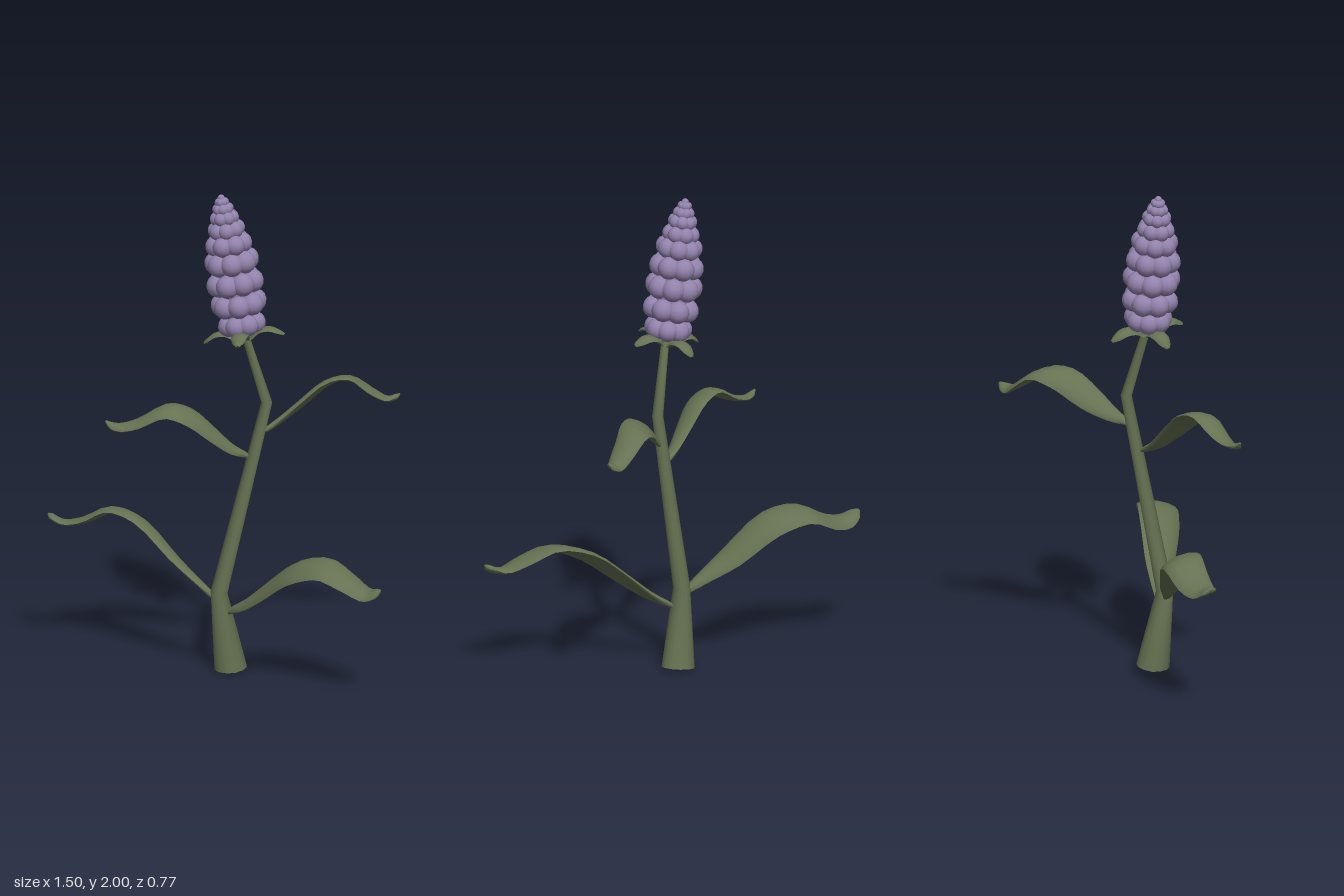
import * as THREE from 'three';
import { toCreasedNormals } from 'three/addons/utils/BufferGeometryUtils.js';

const green = new THREE.MeshStandardMaterial({ color: 0x667252, roughness: 0.9, side: THREE.DoubleSide });
const purple = new THREE.MeshStandardMaterial({ color: 0x9383ad, roughness: 0.9 });
const V = (x, y, z) => new THREE.Vector3(x, y, z);

// Sweeps an oval section along rows of [x, y, z, halfWidth, halfThickness];
// the width runs along z, roll lowers the +z edge, arch lowers both edges
function sweep(rows, sides, arch = 0, roll = 0) {
  const pos = [], index = [];
  const at = i => V(...rows[Math.min(Math.max(i, 0), rows.length - 1)]);
  const across = V(0, -roll, 1).multiplyScalar(Math.sign(at(rows.length).x - at(0).x));
  rows.forEach(([, , , w, h], i) => {
    const before = at(i).sub(at(i - 1)).normalize();
    const after = at(i + 1).sub(at(i)).normalize();
    const t = before.add(after).normalize();
    const side = across.clone().addScaledVector(t, -across.dot(t)).normalize();
    const normal = side.clone().cross(t);
    for (let j = 0; j < sides; j++) {
      const a = j / sides * Math.PI * 2, c = Math.cos(a);
      const p = at(i).addScaledVector(side, c * w)
        .addScaledVector(normal, Math.sin(a) * h - arch * w * (c * c - 0.5));
      pos.push(p.x, Math.max(p.y, 0), p.z);
      if (i === 0) continue;
      const k = (j + 1) % sides, r = i * sides, q = r - sides;
      index.push(q + j, r + j, q + k, q + k, r + j, r + k);
    }
  });
  // End caps
  const last = (rows.length - 1) * sides;
  for (let j = 1; j < sides - 1; j++) {
    index.push(0, j, j + 1, last, last + j + 1, last + j);
  }
  const g = new THREE.BufferGeometry();
  g.setAttribute('position', new THREE.Float32BufferAttribute(pos, 3));
  g.setIndex(index);
  return toCreasedNormals(g, 0.9);
}

// Leaf through a few [x, y, z, halfWidth] stations, smoothly interpolated
function leaf(name, stations, thickness, arch, roll) {
  const centre = new THREE.CatmullRomCurve3(stations.map(s => V(s[0], s[1], s[2])));
  const width = new THREE.CatmullRomCurve3(stations.map((s, i) => V(s[3], i, 0)));
  const rows = [];
  for (let i = 0; i <= 24; i++) {
    const p = centre.getPoint(i / 24), w = Math.max(width.getPoint(i / 24).x, 0.003);
    rows.push([p.x, p.y, p.z, w, Math.min(thickness, w * 0.6)]);
  }
  const mesh = new THREE.Mesh(sweep(rows, 12, arch, roll), green);
  mesh.name = name;
  return mesh;
}

export function createModel() {
  const model = new THREE.Group();
  model.name = 'floweringPlant';

  // Kinked, tapering stem
  const stem = new THREE.Mesh(sweep([
    [0.043, 0.004, -0.004, 0.068, 0.068],
    [0.002, 0.33, 0.028, 0.035, 0.035],
    [0.182, 1.12, -0.052, 0.023, 0.023],
    [0.105, 1.41, 0, 0.016, 0.016],
  ], 12), green);
  stem.name = 'stem';
  model.add(stem);

  // Four arching leaves, each rolled so that its outer edge hangs lower
  model.add(
    leaf('lowerRightLeaf', [
      [-0.01, 0.30, 0.03, 0.014], [-0.1, 0.365, 0.0, 0.04], [-0.2, 0.44, -0.04, 0.066],
      [-0.35, 0.565, -0.10, 0.084], [-0.48, 0.595, -0.145, 0.082], [-0.6, 0.54, -0.158, 0.07],
      [-0.68, 0.525, -0.16, 0.054], [-0.73, 0.545, -0.162, 0.034], [-0.75, 0.56, -0.166, 0.006],
    ], 0.013, 0.15, -0.25),
    leaf('lowerLeftLeaf', [
      [0.04, 0.25, 0.03, 0.014], [0.13, 0.305, 0.08, 0.044], [0.22, 0.38, 0.125, 0.068],
      [0.35, 0.485, 0.195, 0.088], [0.49, 0.525, 0.26, 0.088], [0.6, 0.485, 0.305, 0.075],
      [0.68, 0.45, 0.336, 0.052], [0.725, 0.462, 0.355, 0.034], [0.745, 0.48, 0.365, 0.006],
    ], 0.013, 0.15, 0.25),
    leaf('upperLeftLeaf', [
      [0.175, 1.0, -0.04, 0.012], [0.23, 1.035, -0.095, 0.037], [0.3, 1.09, -0.155, 0.06],
      [0.39, 1.16, -0.225, 0.07], [0.475, 1.17, -0.285, 0.066], [0.56, 1.11, -0.325, 0.054],
      [0.615, 1.075, -0.352, 0.038], [0.645, 1.08, -0.366, 0.025], [0.664, 1.095, -0.375, 0.005],
    ], 0.012, 0.15, -0.25),
    leaf('upperRightLeaf', [
      [0.11, 0.9, -0.02, 0.012], [0.05, 0.935, 0.015, 0.034], [-0.02, 1.0, 0.045, 0.052],
      [-0.11, 1.08, 0.08, 0.066], [-0.2, 1.105, 0.103, 0.062], [-0.31, 1.05, 0.118, 0.047],
      [-0.38, 1.03, 0.125, 0.034], [-0.42, 1.035, 0.13, 0.023], [-0.445, 1.055, 0.133, 0.005],
    ], 0.012, 0.15, 0.25),
  );

  // Flower head, tilted along its own axis
  const head = new THREE.Group();
  head.name = 'flowerHead';
  head.position.set(0.1, 1.405, 0);
  head.rotation.z = 0.163;
  model.add(head);

  // Four sepals that rise around the lowest berries and droop at the tip
  const calyx = new THREE.Group();
  calyx.name = 'calyx';
  calyx.position.y = -0.01;
  calyx.rotation.x = -0.07;
  head.add(calyx);
  for (let i = 0; i < 4; i++) {
    const sepal = leaf('sepal', [
      [0.005, -0.025, 0, 0.014], [0.035, 0.005, 0, 0.028], [0.07, 0.03, 0, 0.036],
      [0.11, 0.032, 0, 0.034], [0.145, 0.015, 0, 0.024], [0.166, 0.002, 0, 0.008],
    ], 0.006, 0.3, 0);
    sepal.rotation.y = i * Math.PI / 2 + 0.06;
    calyx.add(sepal);
  }

  // Core that closes the gaps between berries
  const core = new THREE.Mesh(new THREE.LatheGeometry([
    [0, 0.01], [0.05, 0.03], [0.072, 0.13], [0.078, 0.24], [0.064, 0.39], [0.034, 0.51], [0, 0.57],
  ].map(p => new THREE.Vector2(...p)), 16), purple);
  core.name = 'flowerCore';
  head.add(core);

  // Staggered rings of berries: [height, ring radius, berry radius]
  const berry = new THREE.SphereGeometry(1, 12, 8);
  [
    [0.058, 0.056, 0.044], [0.143, 0.07, 0.047], [0.233, 0.072, 0.048], [0.32, 0.067, 0.047],
    [0.396, 0.056, 0.042], [0.456, 0.043, 0.035], [0.506, 0.032, 0.029], [0.543, 0.022, 0.023],
    [0.572, 0.013, 0.017],
  ].forEach(([y, ring, size], row) => {
    for (let i = 0; i < 7; i++) {
      const a = (i + (row % 2) / 2) * Math.PI * 2 / 7;
      const mesh = new THREE.Mesh(berry, purple);
      mesh.name = 'berry';
      mesh.position.set(Math.cos(a) * ring, y, Math.sin(a) * ring);
      mesh.rotation.y = -a;
      mesh.scale.setScalar(size);
      head.add(mesh);
    }
  });
  const tip = new THREE.Mesh(berry, purple);
  tip.name = 'tipBerry';
  tip.position.y = 0.588;
  tip.scale.setScalar(0.015);
  head.add(tip);

  return model;
}
